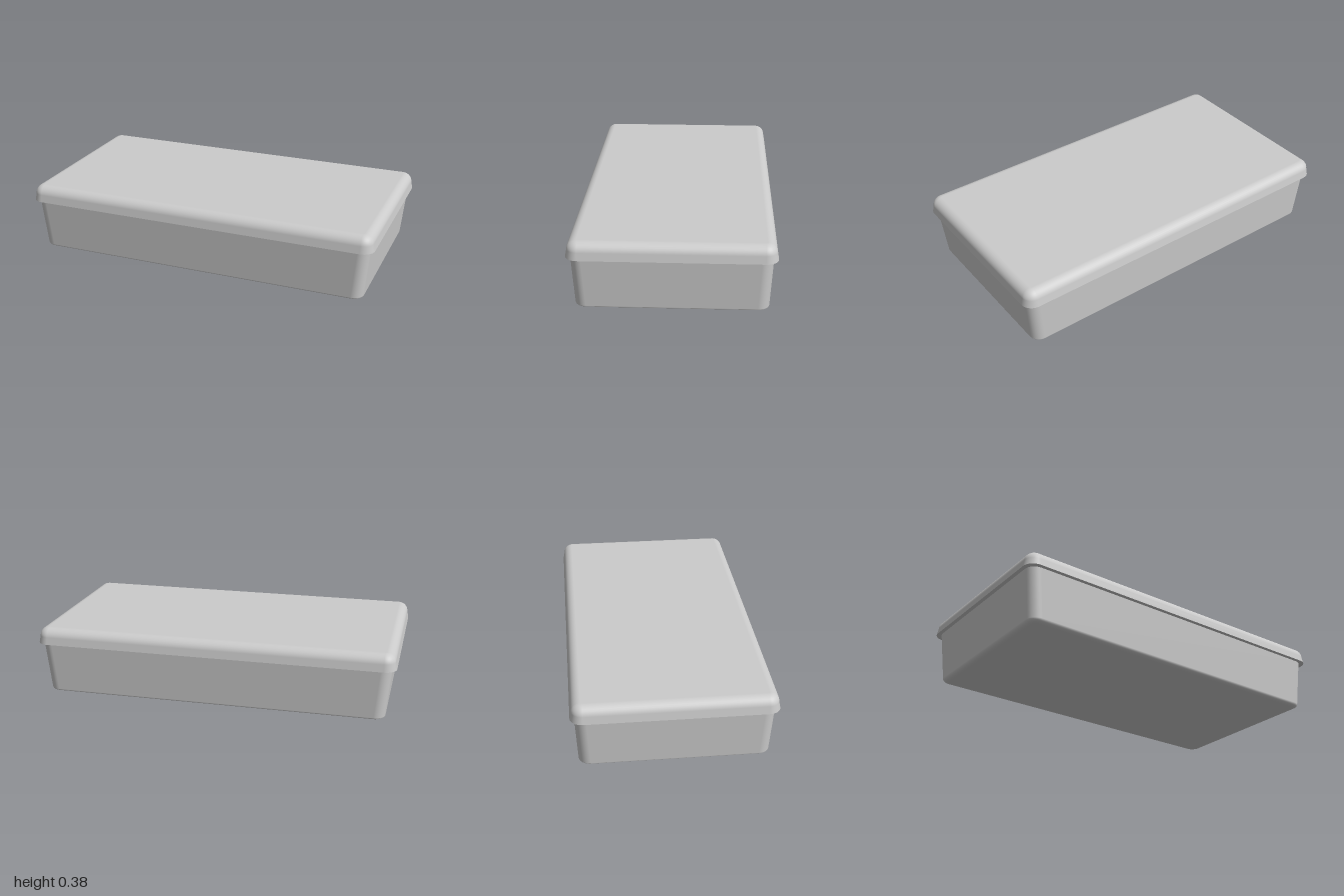
import * as THREE from 'three';

const CORNER_STEPS = 8;

// Lofts rounded rectangles. Row: [halfX, halfZ, y, cornerRadius, normal tilt in degrees], bottom to top.
// Every ring's normals are set by its tilt, so flats stay flat and repeated rings make sharp edges.
function loft(rows) {
  const pos = [], nor = [], idx = [];
  const n = 4 * (CORNER_STEPS + 1);
  for (const [hx, hz, y, r, tiltDeg] of rows) {
    const tilt = THREE.MathUtils.degToRad(tiltDeg);
    for (let q = 0; q < 4; q++) {
      const sx = q === 0 || q === 3 ? 1 : -1;
      const sz = q < 2 ? 1 : -1;
      for (let i = 0; i <= CORNER_STEPS; i++) {
        const a = (q + i / CORNER_STEPS) * Math.PI / 2;
        const c = Math.cos(a), s = Math.sin(a);
        pos.push(sx * (hx - r) + c * r, y, sz * (hz - r) + s * r);
        nor.push(c * Math.cos(tilt), Math.sin(tilt), s * Math.cos(tilt));
      }
    }
  }
  for (let k = 0; k < rows.length - 1; k++) {
    for (let i = 0; i < n; i++) {
      const a = k * n + i, b = k * n + (i + 1) % n;
      idx.push(a, a + n, b, b, a + n, b + n);
    }
  }
  // flat caps where the end ring faces straight down or up
  const cap = (k, up) => {
    const centre = pos.length / 3;
    pos.push(0, rows[k][2], 0);
    nor.push(0, up ? 1 : -1, 0);
    for (let i = 0; i < n; i++) {
      const a = k * n + i, b = k * n + (i + 1) % n;
      if (up) idx.push(centre, b, a); else idx.push(centre, a, b);
    }
  };
  if (rows[0][4] === -90) cap(0, false);
  if (rows[rows.length - 1][4] === 90) cap(rows.length - 1, true);

  const g = new THREE.BufferGeometry();
  g.setAttribute('position', new THREE.Float32BufferAttribute(pos, 3));
  g.setAttribute('normal', new THREE.Float32BufferAttribute(nor, 3));
  g.setIndex(idx);
  return g;
}

export function createModel() {
  const model = new THREE.Group();
  model.name = 'lidded box';
  const material = new THREE.MeshStandardMaterial({ color: 0xcccccc, side: THREE.DoubleSide });
  const add = (name, rows) => {
    const mesh = new THREE.Mesh(loft(rows), material);
    mesh.name = name;
    model.add(mesh);
  };
  const STEPS = 8;

  // Tapered tray with a softly rounded bottom edge
  const tray = [];
  for (let i = 0; i <= STEPS; i++) {
    const t = (i / STEPS) * Math.PI / 2;
    const inset = 0.04 * (1 - Math.sin(t));
    tray.push([0.951 - inset, 0.497 - inset, 0.016 * (1 - Math.cos(t)), 0.06 - inset, -90 + (i / STEPS) * 86]);
  }
  tray.push([0.978, 0.511, 0.292, 0.06, -4]);
  add('tray', tray);

  // Overhanging lid: flat underside, flared skirt, rounded shoulder, flat top
  const lid = [[1, 0.533, 0.29, 0.065, -90], [1, 0.533, 0.29, 0.065, 9]];
  for (let i = 0; i <= STEPS; i++) {
    const t = (i / STEPS) * Math.PI / 2;
    const inset = 0.008 + 0.05 * (1 - Math.cos(t));
    lid.push([1 - inset, 0.533 - inset, 0.33 + 0.05 * Math.sin(t), 0.065 - inset, 9 + (i / STEPS) * 81]);
  }
  add('lid', lid);

  return model;
}
